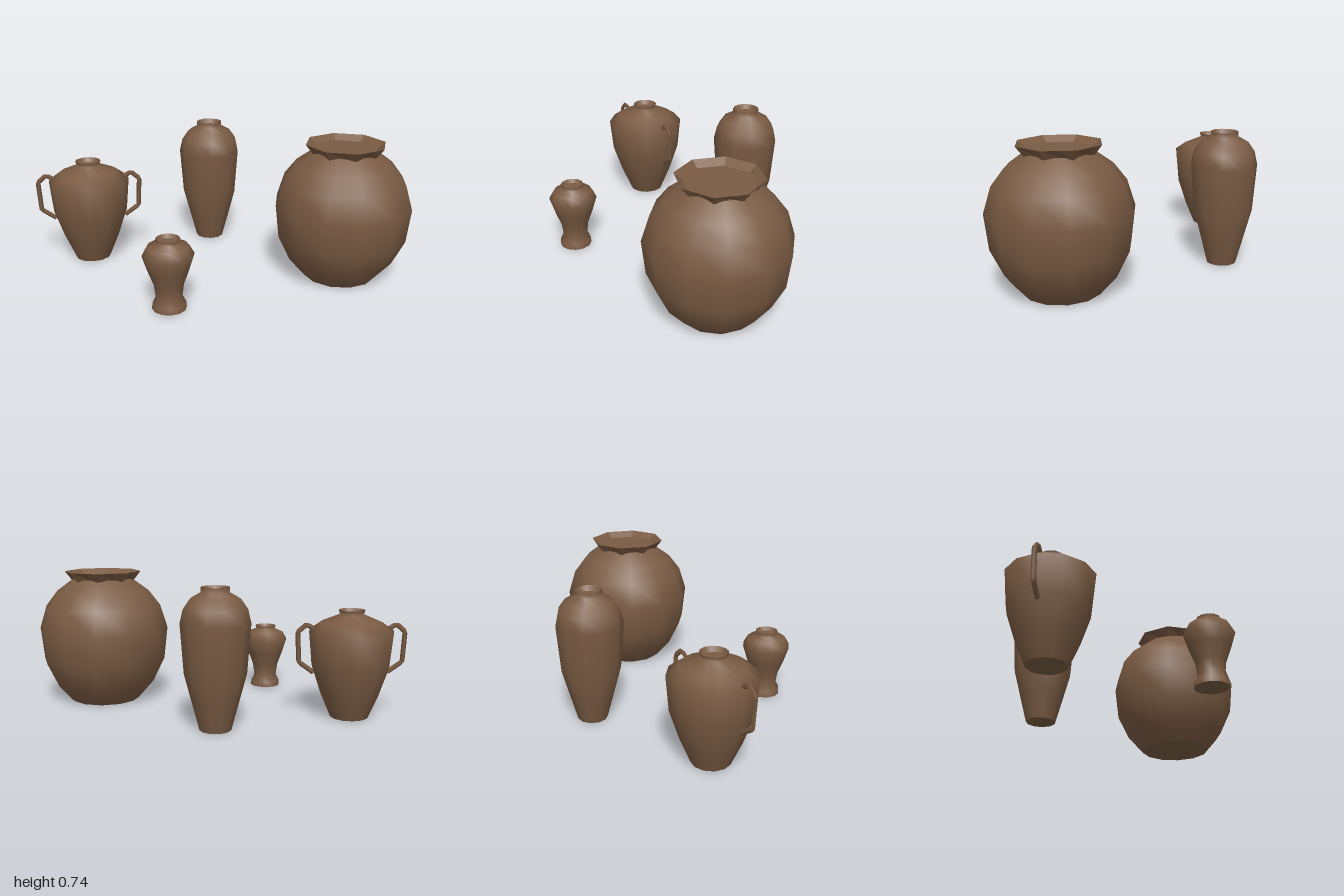
import * as THREE from 'three';

const clay = new THREE.MeshStandardMaterial({ color: 0x7a5b43, side: THREE.DoubleSide });
clay.name = 'brownClay';

function add(group, name, geometry) {
  const mesh = new THREE.Mesh(geometry, clay);
  mesh.name = name;
  group.add(mesh);
  return mesh;
}

const lathe = (points, sides) =>
  new THREE.LatheGeometry(points.map(([r, y]) => new THREE.Vector2(r, y)), sides);

// Horizontal disc facing up (dir 1) or down (dir -1)
function disc(radius, y, sides, dir) {
  const g = new THREE.CircleGeometry(radius, sides, Math.PI / 2);
  g.rotateX(-dir * Math.PI / 2);
  g.translate(0, y, 0);
  return g;
}

// Pot: outer wall, sunken mouth and flat foot
function makePot(name, x, z, sides, wall, mouth) {
  const pot = new THREE.Group();
  pot.name = name;
  pot.position.set(x, 0, z);
  add(pot, 'body', lathe(wall, sides));
  add(pot, 'foot', disc(wall[0][0], wall[0][1], sides, -1));
  if (mouth) {
    add(pot, 'innerLip', lathe([wall[wall.length - 1], mouth], sides));
    add(pot, 'mouthFloor', disc(mouth[0], mouth[1], sides, 1));
  }
  return pot;
}

// Flared octagonal rim with a scalloped lower edge
function addScallopedRim(pot) {
  const rows = [[0.172, 0.69], [0.215, 0.745], [0.175, 0.715]];
  const g = lathe(rows, 16);
  const p = g.attributes.position;
  for (let i = 0; i < p.count; i++) {
    const column = Math.floor(i / rows.length), row = i % rows.length;
    if (column % 2 === 0) continue;
    const s = Math.cos(Math.PI / 8);
    p.setX(i, p.getX(i) * s);
    p.setZ(i, p.getZ(i) * s);
    if (row === 0) p.setY(i, 0.712);
  }
  const flat = g.toNonIndexed();
  flat.computeVertexNormals();
  add(pot, 'scallopedRim', flat);
  add(pot, 'mouthFloor', disc(0.175, 0.715, 8, 1));
}

// Angular strap handle in the x-y plane
function addHandle(pot, side) {
  const path = new THREE.CurvePath();
  const pts = [[0.17, 0.465], [0.235, 0.505], [0.281, 0.465], [0.272, 0.305], [0.195, 0.25]]
    .map(([x, y]) => new THREE.Vector3(side * x, y, 0));
  for (let i = 1; i < pts.length; i++) path.add(new THREE.LineCurve3(pts[i - 1], pts[i]));
  add(pot, side > 0 ? 'leftHandle' : 'rightHandle', new THREE.TubeGeometry(path, 24, 0.013, 4, false));
}

export function createModel() {
  const model = new THREE.Group();
  model.name = 'potteryGroup';

  const bigJar = makePot('bigJar', 0.635, 0.215, 12, [
    [0.195, 0.008], [0.28, 0.105], [0.345, 0.24], [0.365, 0.42],
    [0.325, 0.55], [0.26, 0.635], [0.165, 0.705],
  ]);
  addScallopedRim(bigJar);

  const tallJar = makePot('tallJar', 0.01, -0.45, 11, [
    [0.08, 0.01], [0.12, 0.16], [0.157, 0.3], [0.176, 0.55],
    [0.16, 0.62], [0.125, 0.67], [0.072, 0.7], [0.072, 0.726],
  ], [0.058, 0.7]);

  const amphora = makePot('amphora', -0.705, -0.23, 12, [
    [0.1, 0.01], [0.155, 0.14], [0.205, 0.29], [0.222, 0.47],
    [0.16, 0.515], [0.062, 0.557], [0.07, 0.58],
  ], [0.055, 0.555]);
  addHandle(amphora, 1);
  addHandle(amphora, -1);

  const smallVase = makePot('smallVase', -0.325, 0.49, 12, [
    [0.087, 0.012], [0.085, 0.04], [0.067, 0.075], [0.075, 0.14], [0.105, 0.22],
    [0.13, 0.3], [0.105, 0.345], [0.057, 0.366], [0.062, 0.385],
  ], [0.05, 0.365]);

  model.add(bigJar, tallJar, amphora, smallVase);
  return model;
}
